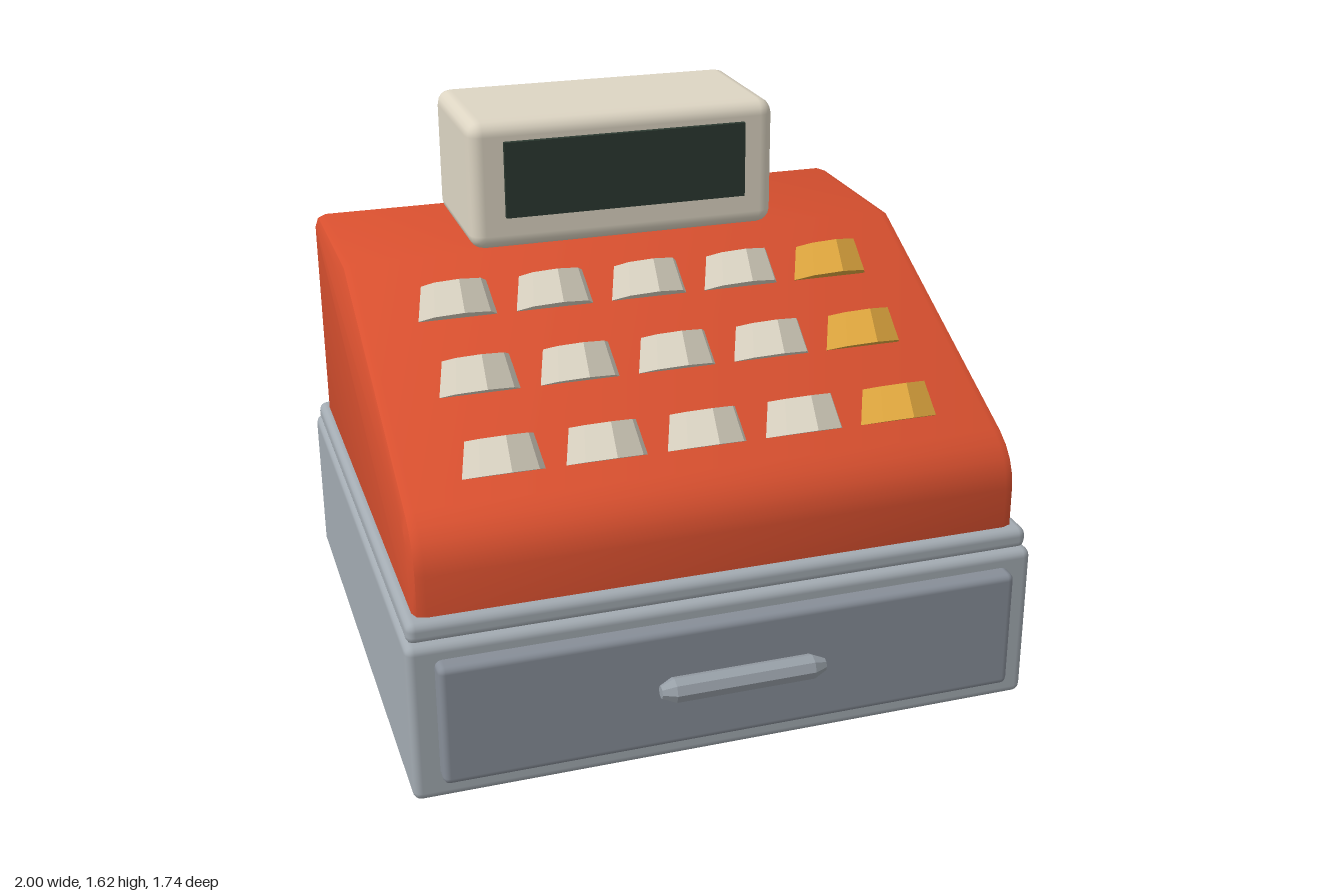
import * as THREE from 'three';
import { toCreasedNormals } from 'three/addons/utils/BufferGeometryUtils.js';
import { RoundedBoxGeometry } from 'three/addons/geometries/RoundedBoxGeometry.js';

const mat = (color, flatShading = false) => new THREE.MeshStandardMaterial({ color, flatShading });

export function createModel() {
  const model = new THREE.Group();
  model.name = 'cashRegister';
  const red = mat(0xd9502f), grey = mat(0xa3abb2), darkGrey = mat(0x878e98);
  const cream = mat(0xddd5c3), glass = mat(0x2b3830);
  const redFlat = mat(0xc84526, true), greyFlat = mat(0x98a0a8, true);
  const creamFlat = mat(0xded7c6, true), yellowFlat = mat(0xe3aa40, true);

  const add = (name, geometry, material, x = 0, y = 0, z = 0, parent = model) => {
    const mesh = new THREE.Mesh(geometry, material);
    mesh.name = name;
    mesh.position.set(x, y, z);
    parent.add(mesh);
    return mesh;
  };
  // Rounded box given by its limits on each axis
  const box = (name, material, [x0, x1], [y0, y1], [z0, z1], radius, segments = 2) =>
    add(name, new RoundedBoxGeometry(x1 - x0, y1 - y0, z1 - z0, segments, radius), material,
      (x0 + x1) / 2, (y0 + y1) / 2, (z0 + z1) / 2);

  // Cash drawer base
  box('base', grey, [-1, 0.815], [0.03, 0.505], [-0.87, 0.755], 0.025);
  box('baseTrim', grey, [-0.99, 0.81], [0.495, 0.56], [-0.845, 0.73], 0.025);
  box('drawer', darkGrey, [-0.925, 0.74], [0.1, 0.46], [0.6, 0.805], 0.02);

  // Drawer handle: octagonal bar with tapered ends
  const bar = [[0, -0.238], [0.018, -0.238], [0.036, -0.2], [0.036, 0.2], [0.018, 0.238], [0, 0.238]]
    .map(([r, y]) => new THREE.Vector2(r, y));
  add('drawerHandle', new THREE.LatheGeometry(bar, 8), greyFlat, -0.092, 0.298, 0.838)
    .rotation.z = Math.PI / 2;

  // Sloped body: side profile (z, y) extruded across x
  const profile = new THREE.Shape();
  profile.moveTo(-0.7, 0.5);
  profile.lineTo(-0.7, 0.68);
  profile.quadraticCurveTo(-0.695, 0.775, -0.6, 0.825);
  profile.lineTo(0.25, 1.225);
  profile.lineTo(0.765, 1.225);
  profile.quadraticCurveTo(0.812, 1.22, 0.812, 1.175);
  profile.lineTo(0.812, 0.5);
  profile.closePath();
  const bevel = 0.035;
  const bodyGeo = new THREE.ExtrudeGeometry(profile, {
    depth: 1.745 - 2 * bevel, curveSegments: 4, bevelEnabled: true,
    bevelSize: bevel, bevelThickness: bevel, bevelOffset: -bevel, bevelSegments: 2,
  });
  add('body', toCreasedNormals(bodyGeo, 0.65), red, -0.963 + bevel).rotation.y = Math.PI / 2;

  // Display housing with a screen on the front and back
  box('displayHousing', cream, [-0.57, 0.385], [1.222, 1.615], [-0.728, -0.248], 0.045);
  for (const [name, z] of [['frontScreen', -0.247], ['backScreen', -0.733]])
    add(name, new THREE.BoxGeometry(0.75, 0.23, 0.03), glass, -0.09, 1.44, z);

  // Keys: tilted octagonal frustums, last column yellow
  const keys = new THREE.Group();
  keys.name = 'keys';
  model.add(keys);
  const keyGeo = new THREE.CylinderGeometry(0.095, 0.115, 0.1, 8);
  for (let row = 0; row < 3; row++)
    for (let col = 0; col < 5; col++)
      add('key', keyGeo, col === 4 ? yellowFlat : creamFlat,
        -0.67 + col * 0.2875, 0.906 + row * 0.128, 0.508 - row * 0.267, keys)
        .rotation.x = -0.46;

  // Side crank: hub, arm and knob
  const crank = new THREE.Group();
  crank.name = 'crank';
  model.add(crank);
  add('crankHub', new THREE.SphereGeometry(0.132, 12, 10), grey, 0.816, 0.892, -0.247, crank)
    .scale.x = 0.31;
  const from = new THREE.Vector3(0.868, 0.892, -0.247), to = new THREE.Vector3(0.912, 0.62, 0.09);
  const dir = to.clone().sub(from);
  const mid = from.clone().add(to).multiplyScalar(0.5);
  add('crankArm', new THREE.CylinderGeometry(0.03, 0.033, dir.length(), 6), greyFlat,
    mid.x, mid.y, mid.z, crank)
    .quaternion.setFromUnitVectors(new THREE.Vector3(0, 1, 0), dir.normalize());
  add('crankKnob', new THREE.SphereGeometry(0.084, 12, 8), cream, to.x, to.y, to.z, crank);

  // Tapered square feet
  const footGeo = new THREE.CylinderGeometry(0.12 * Math.SQRT2, 0.09 * Math.SQRT2, 0.04, 4);
  footGeo.rotateY(Math.PI / 4);
  for (const x of [-0.79, 0.61])
    for (const z of [-0.663, 0.552]) add('foot', footGeo, redFlat, x, 0.02, z);

  return model;
}
